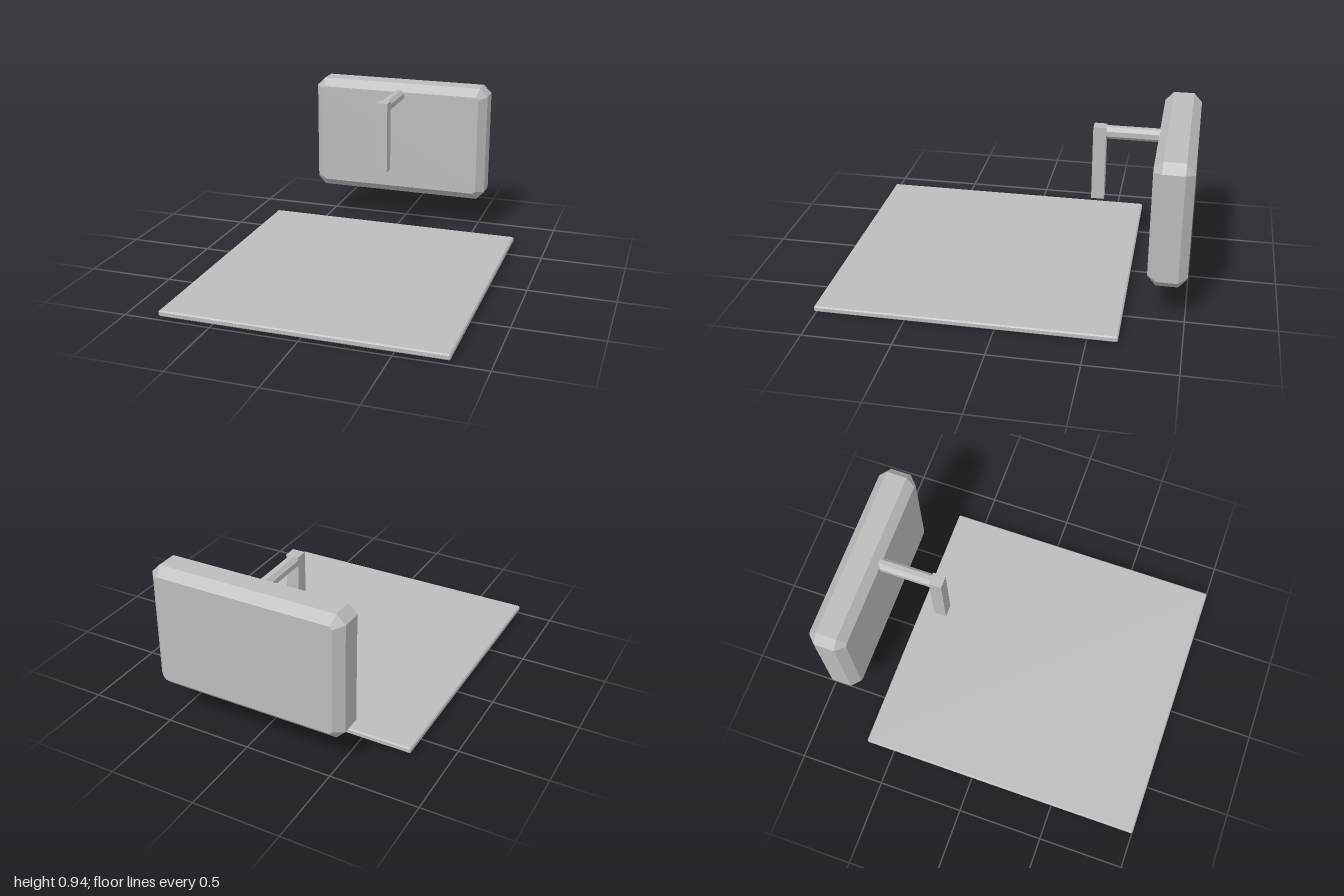
import * as THREE from 'three';

const grey = new THREE.MeshStandardMaterial({ color: 0xbcbcbc, flatShading: true });
grey.name = 'grey';

// Rectangle with cut corners, counter-clockwise, at depth z
function ring(w, h, cut, z) {
  const x = w / 2, y = h / 2;
  return [
    [x, -y + cut, z], [x, y - cut, z], [x - cut, y, z], [-x + cut, y, z],
    [-x, y - cut, z], [-x, -y + cut, z], [-x + cut, -y, z], [x - cut, -y, z],
  ];
}

// Slab with bevelled edges all round: four rings joined from back to front
function bevelSlab(w, h, d, bevel, cut, faceCut) {
  const inner = [w - 2 * bevel, h - 2 * bevel, faceCut];
  const rings = [
    ring(...inner, -d / 2), ring(w, h, cut, -d / 2 + bevel),
    ring(w, h, cut, d / 2 - bevel), ring(...inner, d / 2),
  ];
  const p = [];
  const tri = (a, b, c) => p.push(...a, ...b, ...c);
  for (let r = 0; r < 3; r++) {
    for (let i = 0; i < 8; i++) {
      const j = (i + 1) % 8, a = rings[r], b = rings[r + 1];
      tri(a[i], a[j], b[j]);
      tri(a[i], b[j], b[i]);
    }
  }
  for (let i = 1; i < 7; i++) {
    tri(rings[3][0], rings[3][i], rings[3][i + 1]);
    tri(rings[0][0], rings[0][i + 1], rings[0][i]);
  }
  const g = new THREE.BufferGeometry();
  g.setAttribute('position', new THREE.Float32BufferAttribute(p, 3));
  g.computeVertexNormals();
  return g;
}

export function createModel() {
  const group = new THREE.Group();
  const add = (name, geometry, x, y, z) => {
    const mesh = new THREE.Mesh(geometry, grey);
    mesh.name = name;
    mesh.position.set(x, y, z);
    group.add(mesh);
  };

  // Floor tray and the smaller plinth beneath it
  const tray = bevelSlab(1.595, 1.667, 0.034, 0.007, 0.007, 0.002).rotateX(-Math.PI / 2);
  add('tray', tray, 0, 0.037, 0.1665);
  add('plinth', new THREE.BoxGeometry(1.495, 0.022, 1.567), 0, 0.011, 0.1665);

  // Bevelled tank hanging behind the tray
  add('tank', bevelSlab(1.126, 0.725, 0.215, 0.048, 0.05, 0.016), 0, 0.5825, -0.8925);

  // Eight-sided arm reaching forward to the hanging bar
  const arm = new THREE.CylinderGeometry(0.0379, 0.0379, 0.32, 8, 1, false, Math.PI / 8);
  add('arm', arm.rotateX(Math.PI / 2), 0, 0.874, -0.64);
  add('hangingBar', new THREE.BoxGeometry(0.072, 0.434, 0.072), 0, 0.692, -0.456);

  return group;
}
